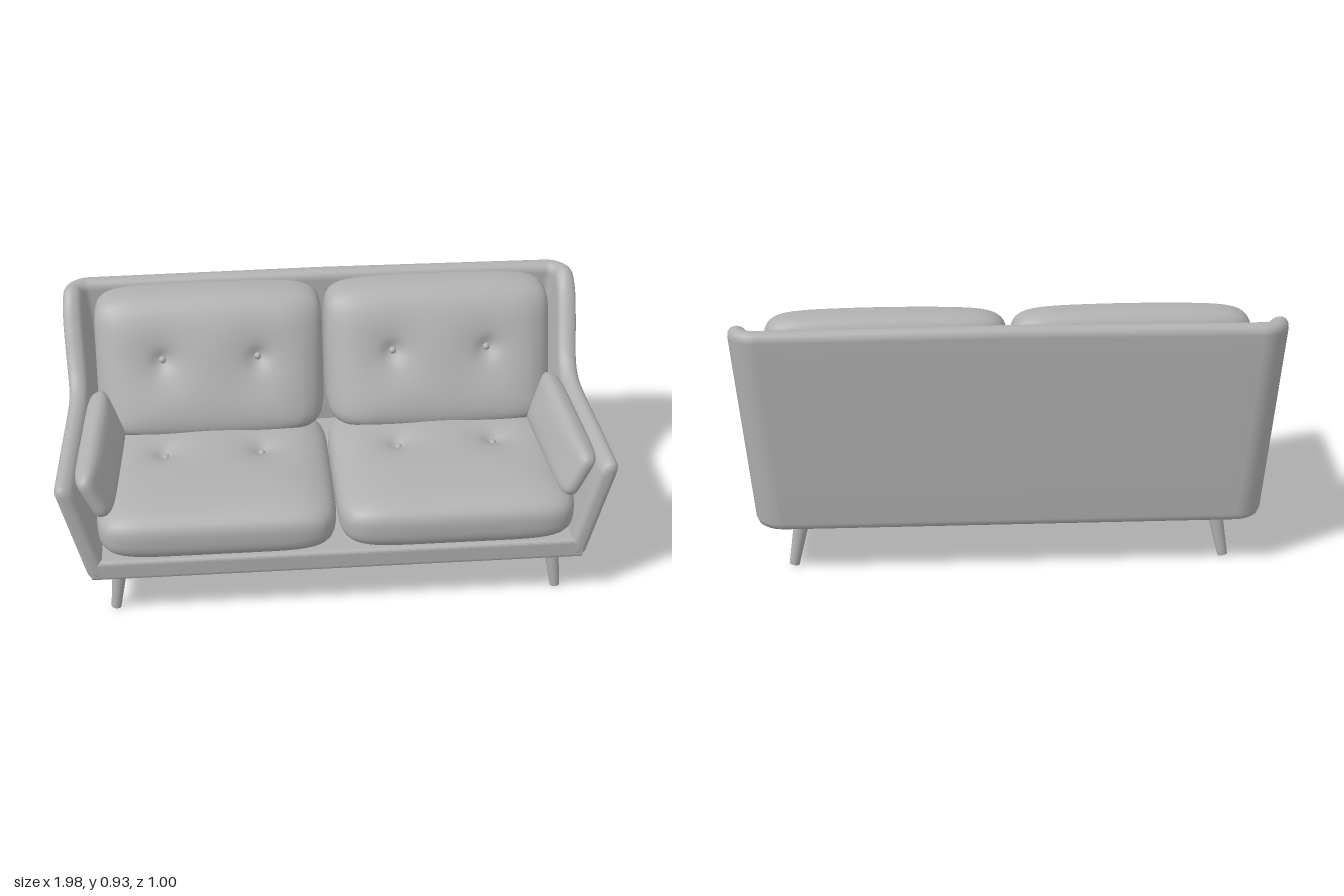
import * as THREE from 'three';
import { mergeVertices } from 'three/addons/utils/BufferGeometryUtils.js';

const fabric = new THREE.MeshStandardMaterial({ color: 0xb0b0b0 });
fabric.name = 'grey fabric';

function part(name, geometry) {
  const mesh = new THREE.Mesh(geometry, fabric);
  mesh.name = name;
  return mesh;
}

// Rounded pillow in -1..1: a shapes the outline, b the roundness through z
function puff(x, y, z, a, b) {
  const plan = Math.pow(Math.abs(x) ** a + Math.abs(y) ** a, b / a);
  const s = Math.pow(plan + Math.abs(z) ** b, -1 / b);
  return [x * s, y * s, z * s];
}

// Pillow whose unit points are sent through place(u, v, w)
function pillow(a, b, place, nx = 48, ny = 40, nz = 14) {
  let geo = new THREE.BoxGeometry(2, 2, 2, nx, ny, nz);
  geo.deleteAttribute('uv');
  geo.deleteAttribute('normal');
  geo = mergeVertices(geo, 1e-4);
  const p = geo.attributes.position;
  for (let i = 0; i < p.count; i++) {
    p.setXYZ(i, ...place(...puff(p.getX(i), p.getY(i), p.getZ(i), a, b)));
  }
  geo.computeVertexNormals();
  return geo;
}

// Depth of the two button dimples on a cushion face
const BUTTON_U = 0.42;
function dimple(u, v, v0, halfW, halfH) {
  let d = 0;
  for (const s of [-1, 1]) {
    const r = Math.hypot((u - s * BUTTON_U) * halfW, (v - v0) * halfH);
    d += 0.022 * Math.exp(-((r / 0.1) ** 2)) + 0.022 * Math.exp(-((r / 0.035) ** 2));
  }
  return d;
}

// Cushion with a pair of buttons sitting in its dimples
function buttonedCushion(name, a, b, v0, place) {
  const group = new THREE.Group();
  group.name = name;
  group.add(part(name + 'Pad', pillow(a, b, place)));
  for (const s of [-1, 1]) {
    const button = part('button', new THREE.SphereGeometry(0.014, 14, 10));
    button.position.set(...place(...puff(s * BUTTON_U, v0, 1, a, b)));
    group.add(button);
  }
  return group;
}

// Wrap-around shell: arms and back lofted as one U-shaped wall
function shellGeometry() {
  const B = 0.175, T = 0.07, R = 0.1, backZ = -0.5;
  const profile = [[0.43, 0.578], [0.2, 0.586], [-0.04, 0.594], [-0.12, 0.605], [-0.18, 0.638],
    [-0.23, 0.7], [-0.29, 0.79], [-0.34, 0.86], [-0.38, 0.895], [-0.4, 0.905]];
  const curve = new THREE.CatmullRomCurve3(profile.map(([z, y]) => new THREE.Vector3(0, y, z)));
  const sideX = (z, y) => {
    const f = THREE.MathUtils.clamp((z + 0.4) / 0.85, 0, 1);
    return 0.895 + (0.1 + 0.16 * f) * (y - B);
  };

  // Stations from the front of one arm to the middle of the back
  const half = [];
  const arm = (z, H, e) => half.push({ H, e, at: (n, y) => [sideX(z, y) - n, z] });
  arm(0.456, 0.576, 0.025);
  arm(0.453, 0.577, 0.014);
  arm(0.445, 0.578, 0.005);
  for (const p of curve.getPoints(40)) arm(p.z, p.y, 0);
  for (let i = 1; i <= 10; i++) {
    const t = (i / 10) * Math.PI / 2;
    half.push({ H: 0.905, e: 0, at: (n, y) => [
      sideX(-0.4, y) - R + (R - n) * Math.cos(t), backZ + R - (R - n) * Math.sin(t)] });
  }
  for (let i = 1; i <= 8; i++) {
    const f = 1 - i / 8;
    half.push({ H: 0.905 + 0.006 * (1 - f), e: 0, at: (n, y) => [(sideX(-0.4, y) - R) * f, backZ + n] });
  }
  const stations = half.map(s => ({ ...s, sign: 1 }))
    .concat(half.slice(0, -1).reverse().map(s => ({ ...s, sign: -1 })));

  // Wall section: up the outside, over the rounded top, down the inside
  const section = H => {
    const outer = [[0.02, B], [0.006, B + 0.007], [0, B + 0.025]];
    for (let k = 1; k <= 5; k++) outer.push([0, B + 0.025 + (H - 0.06 - B) * k / 5]);
    outer.push([0.003, H - 0.02], [0.011, H - 0.009], [0.022, H - 0.002], [0.032, H]);
    return outer.concat(outer.map(([n, y]) => [T - n, y]).reverse());
  };
  const pos = [], idx = [];
  let L = 0;
  for (const { H, e, at, sign } of stations) {
    const pts = section(H);
    L = pts.length;
    for (const [n, y] of pts) {
      const yy = B + e + (y - B) * (H - B - 2 * e) / (H - B);
      const [x, z] = at(e + n * (T - 2 * e) / T, yy);
      pos.push(sign * x, yy, z);
    }
  }
  for (let i = 0; i < stations.length - 1; i++) {
    for (let j = 0; j < L; j++) {
      const k = (j + 1) % L, a = i * L + j, c = i * L + k;
      idx.push(a, a + L, c, c, a + L, c + L);
    }
  }
  // Arm fronts
  const end = (stations.length - 1) * L;
  for (let j = 0; j < L / 2 - 1; j++) {
    const r = L - 1 - j;
    idx.push(j, j + 1, r, j + 1, r - 1, r);
    idx.push(end + j, end + r, end + j + 1, end + j + 1, end + r, end + r - 1);
  }
  const geo = new THREE.BufferGeometry();
  geo.setAttribute('position', new THREE.Float32BufferAttribute(pos, 3));
  geo.setIndex(idx);
  geo.computeVertexNormals();
  return geo;
}

// Base slab, rounded at the back corners
function baseGeometry() {
  const w = 0.885, r = 0.1, s = new THREE.Shape();
  s.moveTo(-w, -0.455);
  s.lineTo(w, -0.455);
  s.lineTo(w, 0.495 - r);
  s.quadraticCurveTo(w, 0.495, w - r, 0.495);
  s.lineTo(-w + r, 0.495);
  s.quadraticCurveTo(-w, 0.495, -w, 0.495 - r);
  const bevel = 0.015;
  const geo = new THREE.ExtrudeGeometry(s, { depth: 0.08 - 2 * bevel, bevelEnabled: true,
    bevelSize: bevel, bevelOffset: -bevel, bevelThickness: bevel, bevelSegments: 4, curveSegments: 10 });
  geo.rotateX(-Math.PI / 2);
  geo.translate(0, 0.175 + bevel, 0);
  return geo;
}

// Tapered leg between a foot point and a top point
function leg(name, foot, top) {
  const a = new THREE.Vector3(...foot), b = new THREE.Vector3(...top);
  const dir = b.clone().sub(a);
  const mesh = part(name, new THREE.CylinderGeometry(0.029, 0.018, dir.length(), 20));
  mesh.position.copy(a).add(b).multiplyScalar(0.5);
  mesh.quaternion.setFromUnitVectors(new THREE.Vector3(0, 1, 0), dir.normalize());
  return mesh;
}

export function createModel() {
  const sofa = new THREE.Group();
  sofa.name = 'sofa';
  sofa.add(part('shell', shellGeometry()), part('base', baseGeometry()));

  for (const s of [1, -1]) {
    const side = s > 0 ? 'left' : 'right';

    // Seat cushion, crowned with its face up
    sofa.add(buttonedCushion(side + 'SeatCushion', 7, 3.2, -(0.06 - 0.13) / -0.37 * -1, (u, v, w) => {
      const d = w > 0 ? dimple(u, v, 0.19, 0.43, 0.37) * w : 0;
      return [s * 0.43 + u * 0.428, 0.36 + w * 0.117 - d, 0.133 - v * 0.37];
    }));

    // Back cushion, a wedge leaning on the upright back
    sofa.add(buttonedCushion(side + 'BackCushion', 8, 3.6, 0.16, (u, v, w) => {
      const d = w > 0 ? dimple(u, v, 0.16, 0.425, 0.25) * w : 0;
      const depth = 0.325 - 0.12 * v;
      const crown = 0.012 * v * (1 - u * u);
      return [s * 0.428 + u * 0.424, 0.672 + v * 0.243 + crown, -0.43 + (w + 1) / 2 * depth - d];
    }));

    // Slim pillow leaning on the arm
    const bolster = part(side + 'ArmPillow',
      pillow(7, 3, (u, v, w) => [w * 0.05, v * 0.098, -u * 0.295], 28, 16, 10));
    bolster.position.set(s * 0.837, 0.515, 0.135);
    bolster.rotation.set(0.035, s * 0.08, -s * 0.43);
    sofa.add(bolster);

    // Corner legs
    sofa.add(leg(side + 'FrontLeg', [s * 0.81, 0, 0.377], [s * 0.785, 0.19, 0.36]));
    sofa.add(leg(side + 'BackLeg', [s * 0.772, 0, -0.402], [s * 0.735, 0.19, -0.38]));
  }
  sofa.add(leg('middleLeg', [-0.005, 0, 0.01], [-0.005, 0.19, 0.01]));
  return sofa;
}
